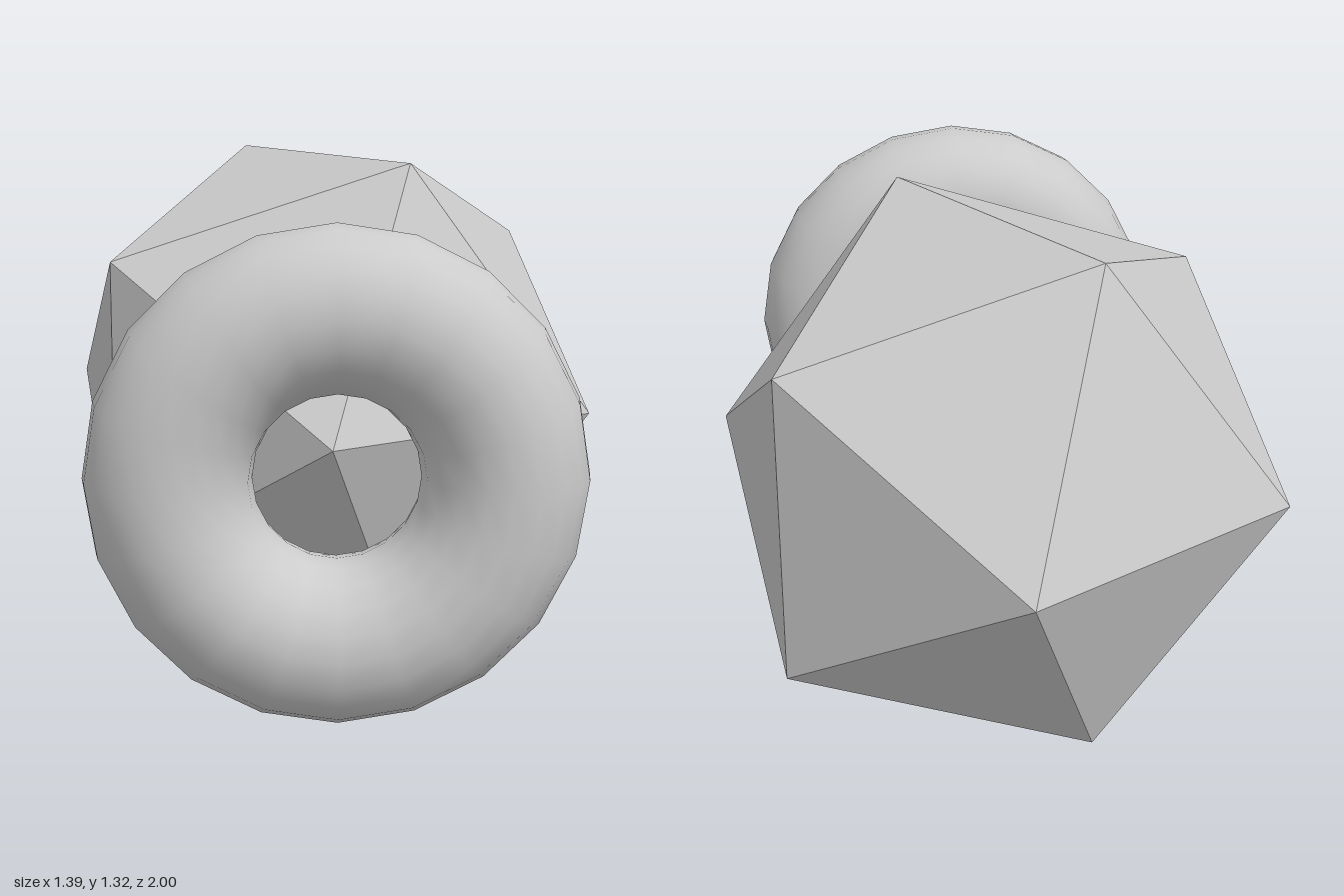
import * as THREE from 'three';

const CENTRE_Y = 0.66;

export function createModel() {
  const group = new THREE.Group();

  // Faceted icosahedron with one corner pointing to the front and one side corner on +x
  const radius = 0.776;
  const solidGeometry = new THREE.IcosahedronGeometry(radius, 0);
  solidGeometry.rotateX(Math.atan(2 / (1 + Math.sqrt(5)))); // corner onto +z
  solidGeometry.rotateZ(Math.PI / 2);
  const solid = new THREE.Mesh(
    solidGeometry,
    new THREE.MeshStandardMaterial({ color: 0xcccccc, flatShading: true })
  );
  solid.name = 'icosahedron';
  solid.position.set(0, CENTRE_Y, radius - 1);
  group.add(solid);

  // Smooth ring standing in front of the solid
  const tube = 0.194;
  const ring = new THREE.Mesh(
    new THREE.TorusGeometry(0.388, tube, 20, 20),
    new THREE.MeshStandardMaterial({ color: 0xcccccc })
  );
  ring.name = 'ring';
  ring.position.set(0, CENTRE_Y, 1 - tube);
  group.add(ring);

  return group;
}
